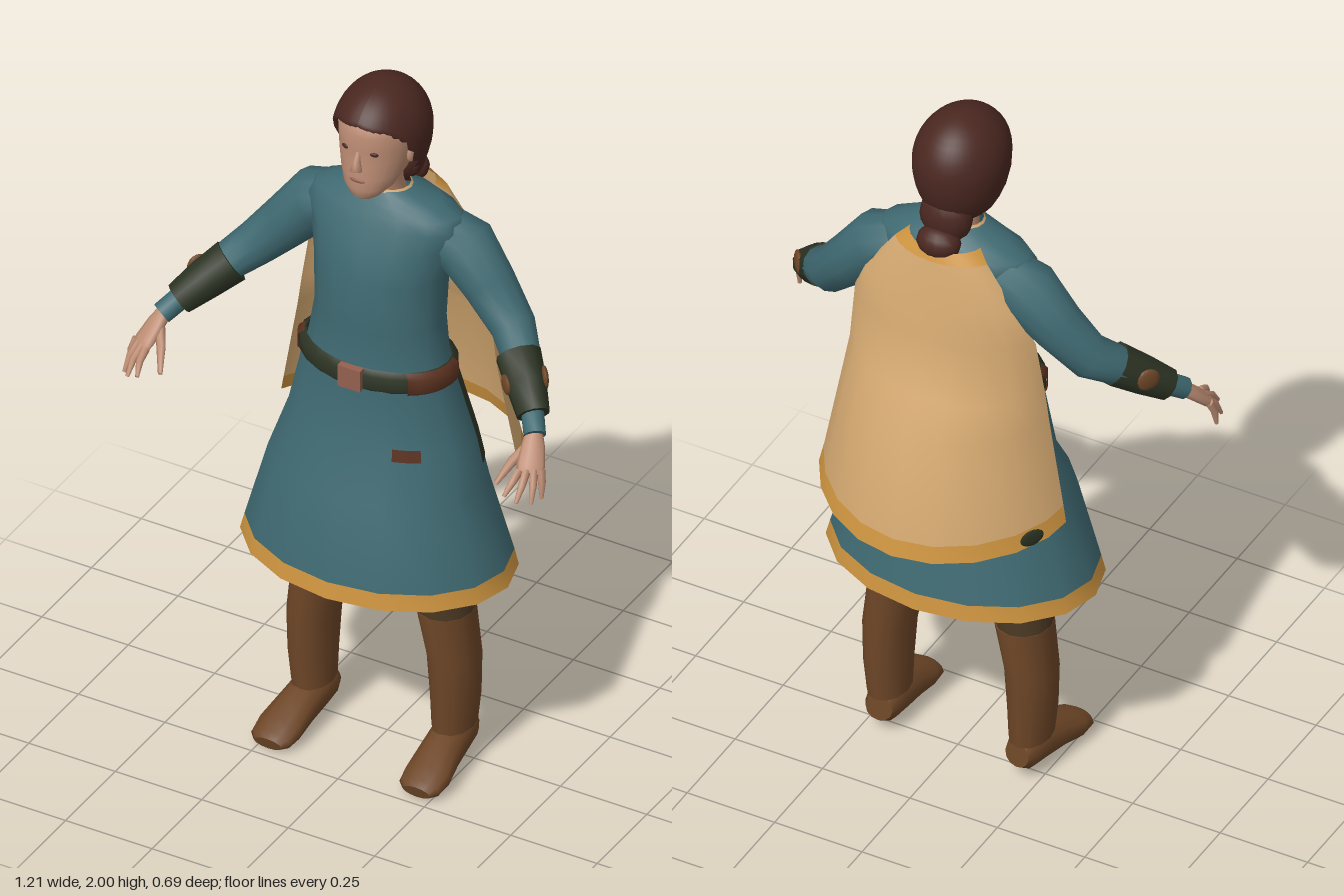
import * as THREE from 'three';

const mat = (name, color, double) => new THREE.MeshStandardMaterial({
  name, color, side: double ? THREE.DoubleSide : THREE.FrontSide });
const M = {
  teal: mat('teal cloth', 0x3f6971, true),
  tan: mat('tan cape', 0xd6aa72, true),
  gold: mat('gold trim', 0xcc933f, true),
  hair: mat('dark red hair', 0x4a2720, true),
  skin: mat('skin', 0xbd8d74),
  leather: mat('brown leather', 0x6d4627),
  trousers: mat('dark brown trousers', 0x4a3722),
  green: mat('dark green leather', 0x2d3424, true),
  red: mat('red brown leather', 0x5a3120, true),
  lips: mat('lips', 0x94604f),
};
const V = (x, y, z) => new THREE.Vector3(x, y, z);
const rad = THREE.MathUtils.degToRad;

function meshFrom(parent, name, pos, idx, material) {
  const g = new THREE.BufferGeometry();
  g.setAttribute('position', new THREE.Float32BufferAttribute(pos, 3));
  g.setIndex(idx);
  g.computeVertexNormals();
  const m = new THREE.Mesh(g, material);
  m.name = name;
  parent.add(m);
}

// Skin elliptical sections [x, y, z, a, b] strung along a path.
// wide: direction of radius a; flat: keep sections horizontal; arc: only part of the ring (degrees).
function loft(parent, name, material, secs, { n = 12, wide = V(1, 0, 0), flat = false, arc = null, caps = true } = {}) {
  const pos = [], idx = [], P = secs.map(s => V(s[0], s[1], s[2]));
  const [a0, a1] = arc || [0, 360], cols = arc ? n + 1 : n, last = P.length - 1;
  P.forEach((p, i) => {
    const t = flat ? V(0, Math.sign(P[last].y - P[0].y), 0)
      : P[Math.min(i + 1, last)].clone().sub(P[Math.max(i - 1, 0)]).normalize();
    const u = wide.clone().addScaledVector(t, -wide.dot(t)).normalize();
    const v = t.clone().cross(u);
    for (let j = 0; j < cols; j++) {
      const th = rad(a0 + (a1 - a0) * j / n);
      const q = p.clone().addScaledVector(u, secs[i][3] * Math.cos(th)).addScaledVector(v, secs[i][4] * Math.sin(th));
      pos.push(q.x, q.y, q.z);
    }
  });
  for (let i = 0; i < last; i++) for (let j = 0; j < n; j++) {
    const k = (j + 1) % cols, A = i * cols, B = A + cols;
    idx.push(A + j, A + k, B + j, A + k, B + k, B + j);
  }
  if (caps && !arc) for (const e of [0, last]) {
    const c = pos.length / 3;
    pos.push(P[e].x, P[e].y, P[e].z);
    for (let j = 0; j < n; j++) pos.push(...pos.slice((e * n + j) * 3, (e * n + j) * 3 + 3));
    for (let j = 0; j < n; j++) {
      const p = c + 1 + j, q = c + 1 + (j + 1) % n;
      idx.push(c, ...(e ? [p, q] : [q, p]));
    }
  }
  meshFrom(parent, name, pos, idx, material);
}

// Horizontal ring from height, front z, back z and half width
const ring = (y, f, b, w) => [0, y, (f + b) / 2, w, (f - b) / 2];

function blob(parent, name, material, x, y, z, sx, sy, sz, ry = 0) {
  const m = new THREE.Mesh(new THREE.SphereGeometry(1, 14, 10), material);
  m.name = name;
  m.position.set(x, y, z);
  m.scale.set(sx, sy, sz);
  m.rotation.y = ry;
  parent.add(m);
}

function addHead(root) {
  const g = new THREE.Group();
  g.name = 'head';
  root.add(g);
  loft(g, 'neck', M.skin, [[0, 1.64, 0, .055, .05], [0, 1.7, .015, .048, .048], [0, 1.77, .03, .055, .055]], { flat: true });
  loft(g, 'face', M.skin, [ring(1.703, .135, .08, .025), ring(1.715, .149, .06, .042), ring(1.74, .155, .02, .066),
    ring(1.775, .155, -.03, .083), ring(1.82, .152, -.06, .095), ring(1.855, .15, -.07, .1),
    ring(1.9, .154, -.08, .102), ring(1.935, .138, -.07, .088), ring(1.965, .08, -.04, .045)], { n: 24, flat: true });
  loft(g, 'nose', M.skin, [[0, 1.797, .148, .014, .012], [0, 1.806, .158, .015, .02],
    [0, 1.83, .152, .009, .012], [0, 1.855, .146, .006, .003]], { n: 8, flat: true });
  blob(g, 'mouth', M.lips, 0, 1.769, .153, .022, .006, .005);
  for (const s of [1, -1]) {
    blob(g, 'eye', M.hair, s * .042, 1.852, .14, .011, .006, .004, s * .3);
    blob(g, 'ear', M.skin, s * .097, 1.825, .05, .011, .026, .016);
  }
  // Hair cap: a sphere whose lower edge drops from the forehead to the nape, with the rim tucked in
  const geo = new THREE.SphereGeometry(1, 40, 16), p = geo.attributes.position, uv = geo.attributes.uv;
  const edge = [[0, 63], [40, 69], [62, 84], [78, 112], [100, 138], [180, 154]];
  for (let i = 0; i < p.count; i++) {
    const az = uv.getX(i) * 360, d = az > 180 ? 360 - az : az;
    const k = Math.max(1, edge.findIndex(e => e[0] >= d)), [d0, e0] = edge[k - 1], [d1, e1] = edge[k];
    const phi = rad((1 - uv.getY(i)) * (e0 + (e1 - e0) * (d - d0) / (d1 - d0)));
    const tuck = uv.getY(i) < .01 ? .9 : 1;
    const c = Math.cos(phi), zz = tuck * Math.sin(phi) * Math.cos(rad(az));
    p.setXYZ(i, tuck * .122 * Math.sin(phi) * Math.sin(rad(az)), 1.86 + c * (c > 0 ? .14 : .182), .02 + zz * (zz > 0 ? .155 : .137));
  }
  geo.computeVertexNormals();
  const hair = new THREE.Mesh(geo, M.hair);
  hair.name = 'hair';
  g.add(hair);
  blob(g, 'hairKnot', M.hair, 0, 1.73, -.06, .072, .075, .052);
  blob(g, 'ponytail', M.hair, 0, 1.672, -.1, .06, .044, .045);
}

function addTunic(root) {
  const o = { n: 16, flat: true, caps: false };
  loft(root, 'tunicTop', M.teal, [ring(1.17, .18, -.099, .204), ring(1.23, .168, -.085, .19), ring(1.32, .165, -.095, .176),
    ring(1.46, .165, -.108, .18), ring(1.55, .13, -.115, .205), ring(1.6, .108, -.112, .222), ring(1.63, .092, -.105, .205),
    ring(1.655, .078, -.09, .15), ring(1.685, .06, -.05, .072)], o);
  loft(root, 'collar', M.tan, [ring(1.682, .062, -.052, .073), ring(1.69, .058, -.046, .066)], o);
  loft(root, 'skirt', M.teal, [ring(1.18, .18, -.1, .205), ring(.98, .188, -.14, .258),
    ring(.86, .26, -.17, .295), ring(.635, .304, -.223, .36)], o);
  loft(root, 'skirtHem', M.gold, [ring(.635, .304, -.223, .36), ring(.59, .312, -.23, .372)], o);
  loft(root, 'skirtPatch', M.red, [[0, .967, .024, .264, .174], [0, 1.0, .023, .257, .168]], { n: 4, flat: true, arc: [-64, -46] });
  // Dark side panels hanging from the belt
  for (const arc of [[10, 40], [140, 170]])
    loft(root, 'sidePanel', M.green, [[0, .91, .034, .281, .192], [0, .98, .024, .26, .17], [0, 1.17, .04, .21, .147]], { n: 4, flat: true, arc });
  // Belt with coloured stretches and a buckle
  const belt = (e) => [ring(1.155, .176 + e, -.095, .204 + e), ring(1.167, .186 + e, -.102, .216 + e),
    ring(1.205, .186 + e, -.102, .216 + e), ring(1.218, .172 + e, -.09, .198 + e)];
  loft(root, 'belt', M.green, belt(0), { n: 24, flat: true, caps: false });
  for (const arc of [[-48, 12], [-172, -155]])
    loft(root, 'beltPatch', M.red, belt(.004), { n: 7, flat: true, arc });
  const buckle = new THREE.Mesh(new THREE.BoxGeometry(.065, .062, .02), M.lips);
  buckle.name = 'buckle';
  buckle.position.set(0, 1.19, .186);
  root.add(buckle);
}

function addCape(root) {
  // Half-round rows: y, half width, edge z, back z, drop at the back
  const rows = [[1.665, .1, -.065, -.132, 0], [1.638, .13, -.085, -.144, 0], [1.52, .215, -.09, -.168, 0],
    [1.42, .258, -.065, -.182, 0], [1.26, .277, -.05, -.21, .01], [1.18, .288, -.05, -.285, .01],
    [.93, .335, -.06, -.335, .045], [.885, .345, -.065, -.347, .045]];
  const n = 10;
  const strip = (name, material, part) => {
    const pos = [], idx = [];
    part.forEach(([y, w, ze, zb, drop], i) => {
      for (let j = 0; j <= n; j++) {
        const a = rad(-90 + 180 * j / n), c = Math.max(0, Math.cos(a));
        pos.push(w * Math.sin(a), y - drop * c, ze + (zb - ze) * c ** 1.3);
        const A = i * (n + 1) + j, B = A + n + 1;
        if (i < part.length - 1 && j < n) idx.push(A, A + 1, B, A + 1, B + 1, B);
      }
    });
    meshFrom(root, name, pos, idx, material);
  };
  strip('capeCollar', M.gold, rows.slice(0, 2));
  strip('cape', M.tan, rows.slice(1, 7));
  strip('capeHem', M.gold, rows.slice(6));
  blob(root, 'capePatch', M.green, -.303, .888, -.166, .034, .024, .005, rad(-121));
}

function addArm(root, s) {
  const g = new THREE.Group();
  g.name = s > 0 ? 'leftArm' : 'rightArm';
  root.add(g);
  const m = secs => secs.map(([x, ...r]) => [s * x, ...r]);
  const wide = V(s * .7, .7, 0);
  loft(g, 'sleeve', M.teal, m([[.06, 1.575, -.015, .06, .05], [.14, 1.568, -.018, .074, .07], [.215, 1.54, -.02, .083, .084],
    [.29, 1.455, -.01, .071, .07], [.37, 1.37, .012, .06, .06], [.43, 1.32, .07, .05, .05]]), { wide });
  loft(g, 'bracer', M.green, m([[.415, 1.328, .063, .059, .059], [.465, 1.282, .11, .053, .053], [.513, 1.235, .158, .043, .043]]), { wide, n: 10 });
  blob(g, 'bracerBackPatch', M.leather, s * .5, 1.296, .08, .032, .032, .01, Math.atan2(s * .74, -.6));
  if (s > 0) blob(g, 'bracerFrontPatch', M.leather, .425, 1.287, .143, .03, .026, .009, -.75);
  loft(g, 'cuff', M.teal, m([[.505, 1.243, .15, .03, .03], [.54, 1.205, .198, .029, .029]]), { wide, n: 10 });
  // Hand: palm, four fingers and thumb
  const across = V(s * .8, 0, -.6);
  loft(g, 'palm', M.skin, m([[.533, 1.212, .188, .021, .018], [.545, 1.185, .215, .03, .018],
    [.558, 1.15, .25, .036, .016], [.562, 1.135, .265, .032, .012]]), { wide: across, n: 10 });
  const tips = [[.596, 1.07, .262], [.588, 1.073, .302], [.562, 1.085, .332], [.53, 1.098, .338]];
  tips.forEach(([x, y, z], i) => {
    const k = [.585 - i * .015, 1.143, .244 + i * .011];
    loft(g, 'finger', M.skin, m([[...k, .011, .011], [(k[0] + x) / 2 + .003, (k[1] + y) / 2 + .006, (k[2] + z) / 2 + .003, .01, .01],
      [x, y, z, .005, .005]]), { wide: across, n: 7 });
  });
  loft(g, 'thumb', M.skin, m([[.535, 1.185, .215, .016, .014], [.508, 1.15, .255, .013, .012], [.485, 1.1, .3, .006, .006]]), { wide: across, n: 7 });
}

function addLeg(root, s) {
  const g = new THREE.Group();
  g.name = s > 0 ? 'leftLeg' : 'rightLeg';
  root.add(g);
  const m = secs => secs.map(([x, ...r]) => [s * x, ...r]);
  loft(g, 'trouserLeg', M.trousers, m([[.16, .68, .025, .07, .068], [.17, .6, .024, .075, .073], [.182, .45, .018, .073, .081]]), { flat: true });
  loft(g, 'bootShaft', M.leather, m([[.18, .46, .018, .075, .083], [.203, .32, .016, .066, .082], [.206, .2, .015, .06, .079],
    [.203, .11, .015, .053, .075]]), { flat: true });
  loft(g, 'shoe', M.leather, m([[.197, .08, -.052, .036, .035], [.2, .077, -.03, .046, .05], [.203, .075, .03, .053, .055],
    [.208, .06, .1, .056, .048], [.214, .04, .17, .064, .036], [.215, .03, .212, .058, .027], [.215, .025, .23, .04, .018]]));
}

export function createModel() {
  const root = new THREE.Group();
  root.name = 'cloakedFigure';
  addHead(root);
  addTunic(root);
  addCape(root);
  for (const s of [1, -1]) {
    addArm(root, s);
    addLeg(root, s);
  }
  return root;
}
